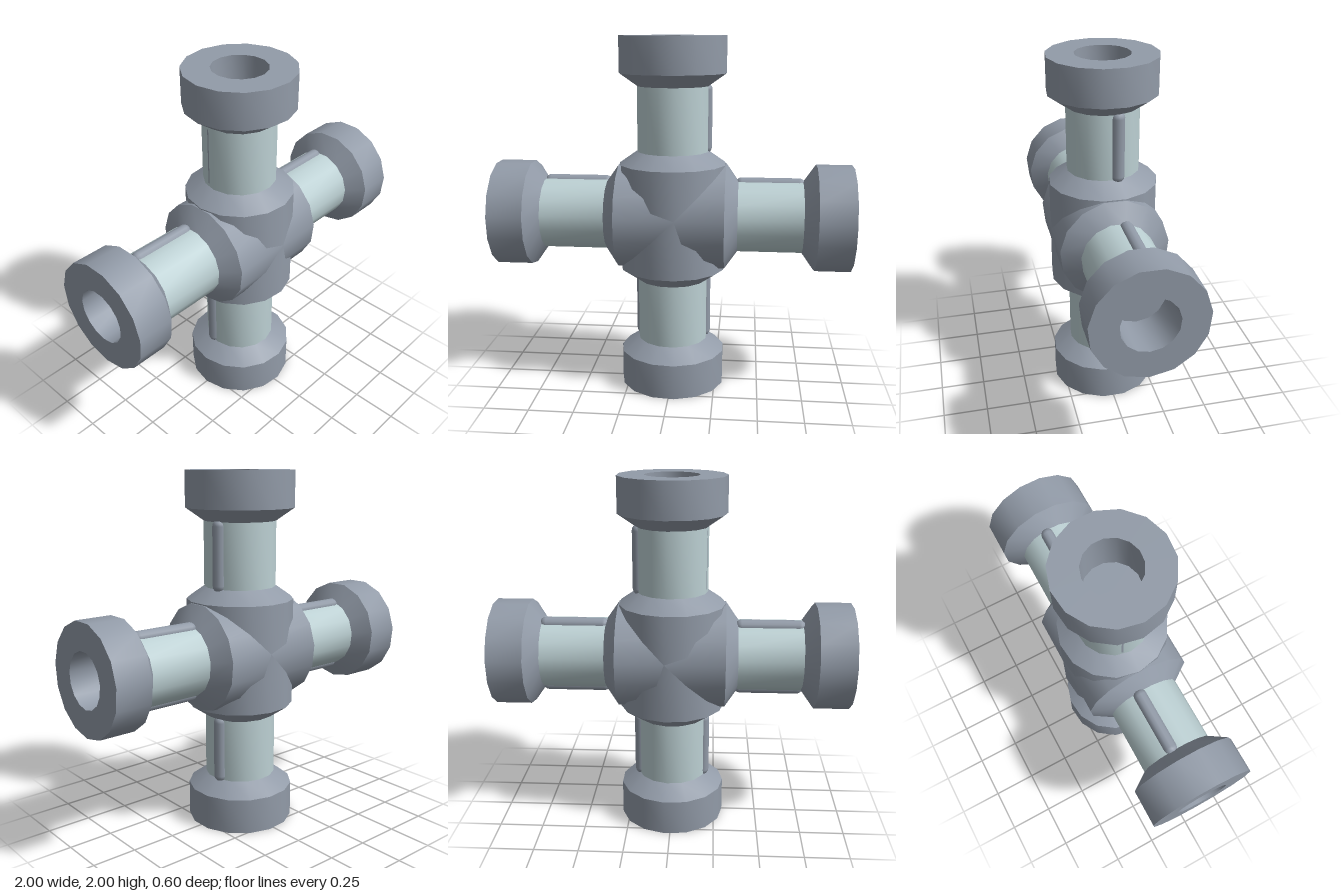
import * as THREE from 'three';
import { toCreasedNormals } from 'three/addons/utils/BufferGeometryUtils.js';

const SIDES = 15;

// Turned part around y, one profile corner facing -x, crisp rims and smooth sides
function turned(points) {
  const profile = points.map(([r, y]) => new THREE.Vector2(r, y));
  return toCreasedNormals(new THREE.LatheGeometry(profile, SIDES, -Math.PI / 2), 0.6);
}

export function createModel() {
  const steel = new THREE.MeshStandardMaterial({ color: 0x929ba8 });
  steel.name = 'steelGrey';
  const pale = new THREE.MeshStandardMaterial({ color: 0xbcd0d3 });
  pale.name = 'paleBlueGrey';

  const hub = turned([[0.2, -0.37], [0.3, -0.3], [0.3, 0.3], [0.2, 0.37]]);
  const arm = turned([[0.2, 0.35], [0.2, 0.75]]);
  // End collar with a conical shoulder and a blind socket
  const collar = turned([[0.2, 0.73], [0.3, 0.8], [0.3, 1], [0.15, 1], [0.15, 0.75], [0, 0.75]]);
  const bottomCollar = turned([[0, -0.75], [0.15, -0.75], [0.15, -1], [0.3, -1], [0.3, -0.8], [0.2, -0.73]]);
  const bottomArm = turned([[0.2, -0.75], [0.2, -0.35]]);
  const rod = new THREE.CapsuleGeometry(0.037, 0.32, 4, 12);

  function add(parent, name, geometry, material) {
    const mesh = new THREE.Mesh(geometry, material);
    mesh.name = name;
    parent.add(mesh);
    return mesh;
  }

  // One straight bar: hub barrel, two arms, two collars and four side rods
  function makeBar(name, upright) {
    const bar = new THREE.Group();
    bar.name = name;
    add(bar, 'hubBarrel', hub, steel);
    add(bar, 'arm', arm, pale);
    add(bar, 'arm', bottomArm, pale);
    add(bar, 'endCollar', collar, steel);
    add(bar, 'endCollar', bottomCollar, steel);
    for (const end of [1, -1]) {
      for (const side of [1, -1]) {
        // One rod on the upright bar sits almost flush in its arm
        const sunk = upright && end > 0 && side < 0;
        add(bar, 'sideRod', rod, steel).position.set(side * (sunk ? 0.155 : 0.18), end * 0.548, -0.04);
      }
    }
    bar.position.y = 1;
    return bar;
  }

  const model = new THREE.Group();
  model.name = 'crossConnector';
  const crossBar = makeBar('crossBar', false);
  crossBar.rotation.z = Math.PI / 2;
  model.add(makeBar('uprightBar', true), crossBar);
  return model;
}
